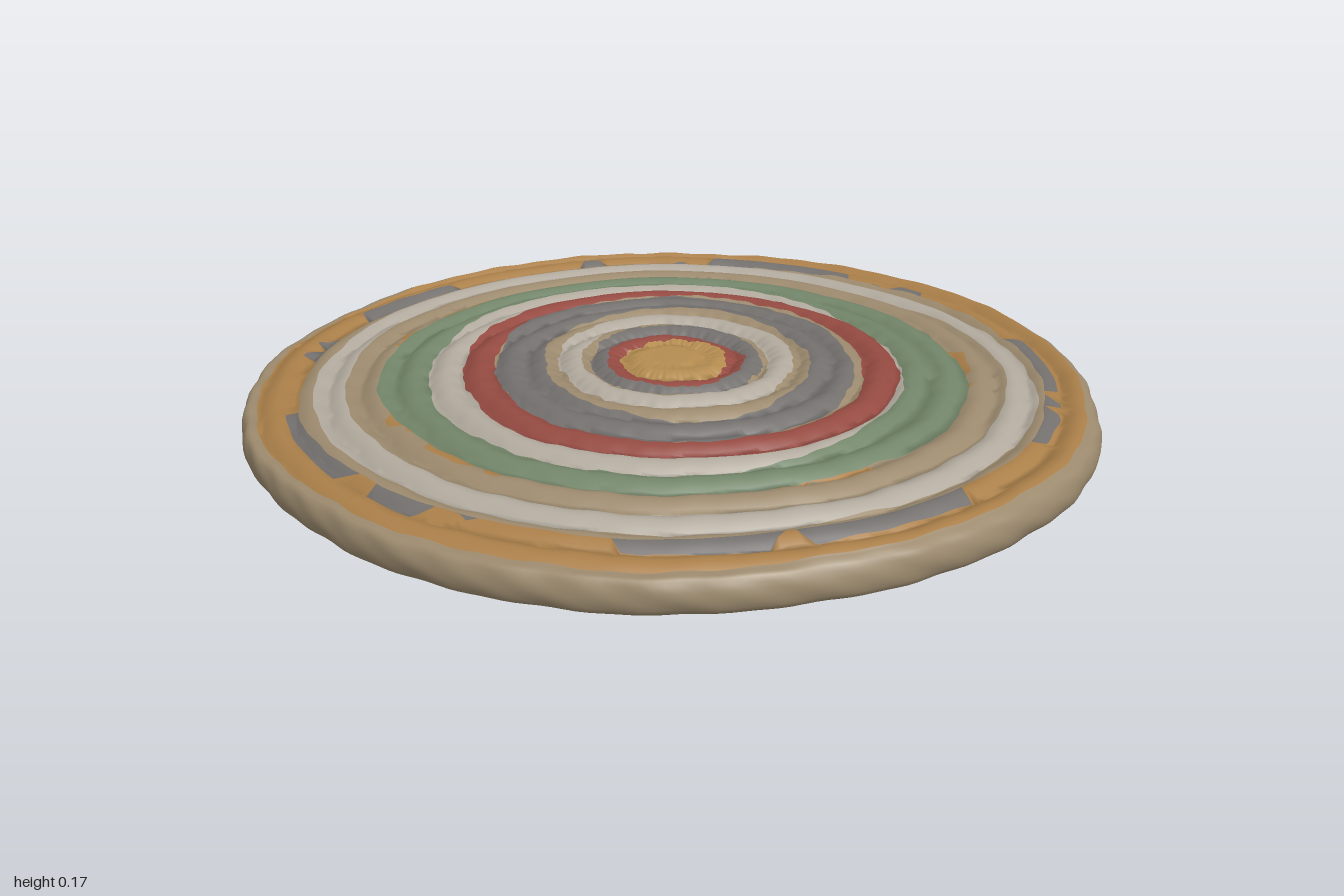
import * as THREE from 'three';

const TAU = Math.PI * 2, COLS = 256;
const { smoothstep, lerp, clamp } = THREE.MathUtils;
const mat = (name, color) => {
  const m = new THREE.MeshStandardMaterial({ color });
  m.name = name;
  return m;
};

// smooth periodic wobble around the disc, about -1..1
const wobble = (a, s) =>
  0.4 * Math.sin(5 * a + s * 1.7) + 0.3 * Math.sin(11 * a + s * 2.9) +
  0.2 * Math.sin(23 * a + s * 4.1) + 0.15 * Math.sin(47 * a + s * 5.3);

// radius from its values on the right, back, left and front
const around = ([r, b, l, f], a) =>
  (r + b + l + f) / 4 + (r - l) / 2 * Math.cos(a) + (b - f) / 2 * Math.sin(a) +
  (r - b + l - f) / 4 * Math.cos(2 * a);

const edge = a => 0.988 + 0.009 * wobble(a, 3);
const polar = (r, y, a) => new THREE.Vector3(r * Math.cos(a), y, -r * Math.sin(a));

// top surface: gentle dome with a coiled ridge
function topPoint(r, a) {
  const dome = 0.165 - 0.045 * smoothstep(r, 0.2, 1);
  const phase = r / 0.076 - a / TAU + 0.1 * wobble(a, 2);
  const groove = 1 - Math.abs(Math.sin(Math.PI * phase));
  const y = dome - 0.016 * groove * smoothstep(r, 0.03, 0.12) + 0.0025 * wobble(a, 8) * r;
  return polar(r, y, a);
}

// rounded, slightly lumpy outer edge, from the top down to the underside
const rimCurve = new THREE.CatmullRomCurve3(
  [[0.965, 0.115], [0.988, 0.105], [1, 0.07], [0.99, 0.036], [0.96, 0.02]]
    .map(([x, y]) => new THREE.Vector3(x, y, 0)));
function rimPoint(u, a) {
  const t = clamp(u, 0, 1);
  rimCurve.points[0].y = topPoint(0.965 * edge(a), a).y;
  const p = rimCurve.getPoint(t);
  const lump = 0.005 * Math.sin(Math.PI * t) * wobble(a + p.y * 2, 6);
  return polar(p.x * edge(a) + lump, p.y, a);
}

// flat underside with a small rippled boss in the middle
function undersidePoint(t, a) {
  const r = (1 - t) * 0.96 * edge(a);
  const boss = Math.exp(-((r / 0.17) ** 2));
  const ripple = 0.5 - 0.5 * Math.cos((r / 0.1) * TAU);
  return polar(r, 0.02 - boss * (0.008 + 0.016 * ripple), a);
}

// strip of surface point(u, angle) between two edges u0(angle) and u1(angle)
function strip(name, material, point, u0, u1, rows, a0 = 0, a1 = TAU) {
  const pos = [], nor = [], index = [], e = 0.002;
  for (let j = 0; j <= COLS; j++) {
    const a = a0 + (a1 - a0) * j / COLS, lo = u0(a), hi = u1(a);
    for (let i = 0; i <= rows; i++) {
      const u = lerp(lo, hi, i / rows);
      const du = point(u + e, a).sub(point(u - e, a));
      const da = point(u, a + e).sub(point(u, a - e));
      const n = du.cross(da);
      if (n.length() < 1e-9) n.set(0, point === undersidePoint ? -1 : 1, 0);
      pos.push(...point(u, a).toArray());
      nor.push(...n.normalize().toArray());
      if (i < rows && j < COLS) {
        const k = j * (rows + 1) + i, m = k + rows + 1;
        index.push(k, k + 1, m + 1, k, m + 1, m);
      }
    }
  }
  const g = new THREE.BufferGeometry();
  g.setAttribute('position', new THREE.Float32BufferAttribute(pos, 3));
  g.setAttribute('normal', new THREE.Float32BufferAttribute(nor, 3));
  g.setIndex(index);
  const mesh = new THREE.Mesh(g, material);
  mesh.name = name;
  return mesh;
}

export function createModel() {
  const group = new THREE.Group();
  group.name = 'coiledMat';
  const tan = mat('tan', 0x9c8a6e), ochre = mat('ochre', 0xaa7f49), gold = mat('gold', 0xb48c50),
    grey = mat('grey', 0x73706e), cream = mat('cream', 0xb2aa9e),
    green = mat('green', 0x728569), red = mat('red', 0x944a41);

  // colour bands from the middle outwards: outer radius right, back, left, front,
  // and a dash threshold for broken bands
  const bands = [
    ['centreSpot', gold, [0.125, 0.115, 0.12, 0.14]],
    ['innerRedRing', red, [0.165, 0.155, 0.155, 0.185]],
    ['innerGreyRing', grey, [0.205, 0.215, 0.19, 0.225]],
    ['innerTanRing', tan, [0.225, 0.235, 0.21, 0.24]],
    ['innerCreamRing', cream, [0.285, 0.3, 0.265, 0.29]],
    ['secondTanRing', tan, [0.32, 0.355, 0.3, 0.355]],
    ['wideGreyRing', grey, [0.42, 0.49, 0.41, 0.47]],
    ['tanCrescent', tan, [0.45, 0.49, 0.41, 0.47]],
    ['wideRedRing', red, [0.53, 0.545, 0.49, 0.54]],
    ['middleCreamRing', cream, [0.535, 0.59, 0.57, 0.585]],
    ['greenRing', green, [0.69, 0.675, 0.68, 0.665]],
    ['ochreStreaks', ochre, [0.71, 0.7, 0.705, 0.69], 0.25],
    ['thirdTanRing', tan, [0.78, 0.75, 0.76, 0.74]],
    ['outerCreamRing', cream, [0.845, 0.825, 0.83, 0.815]],
    ['outerTanRing', tan, [0.865, 0.855, 0.86, 0.85]],
    ['greyDashes', grey, [0.9, 0.895, 0.9, 0.89], -0.05],
  ];
  let inner = () => 0;
  bands.forEach(([name, material, radii, dash], i) => {
    const from = inner;
    inner = a => {
      const start = from(a);
      const on = dash === undefined ? 1 : smoothstep(wobble(a, i + 5), dash, dash + 0.08);
      const r = around(radii, a) + 0.008 * wobble(a, i);
      return Math.max(start, lerp(start, r, on));
    };
    group.add(strip(name, material, topPoint, from, inner, 7));
  });
  group.add(strip('outerOchreRing', ochre, topPoint, inner, a => 0.965 * edge(a), 8));

  // outer edge, underside and a worn patch on the right side
  group.add(strip('rim', tan, rimPoint, () => 0, () => 1, 12));
  group.add(strip('underside', tan, undersidePoint, () => 0, () => 1, 40));
  const patchPoint = (t, a) => rimPoint(t, a).multiply(new THREE.Vector3(1.003, 1, 1.003));
  const half = a => 0.1 * Math.sqrt(Math.max(0, 1 - ((a - 0.45) / 0.11) ** 2));
  group.add(strip('sidePatch', grey, patchPoint, a => 0.5 - half(a), a => 0.5 + half(a), 3, 0.34, 0.56));
  return group;
}
